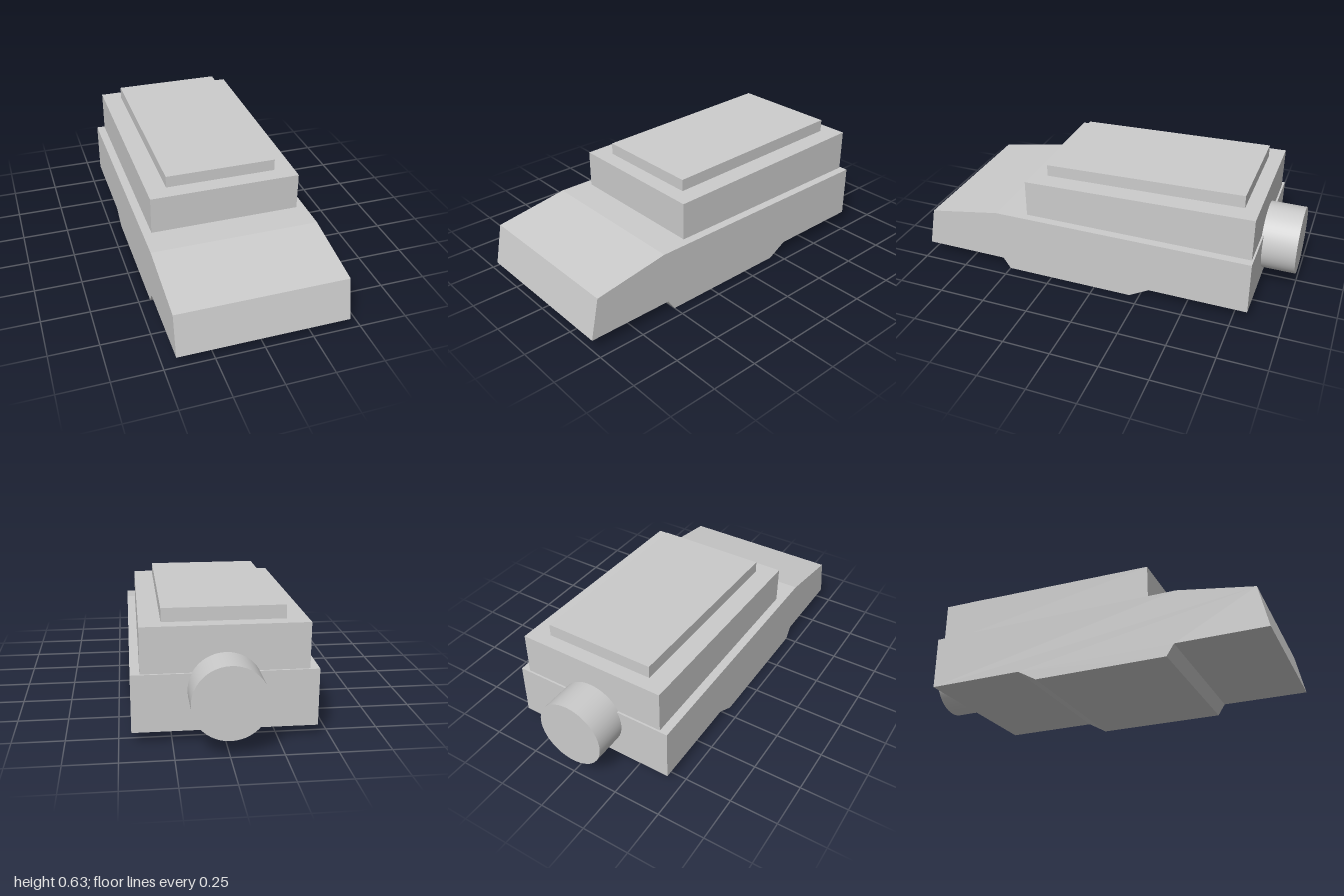
import * as THREE from 'three';

const material = new THREE.MeshStandardMaterial({ color: 0xcccccc });

// Extrudes a side profile of [z, y] points across the full width, centred on x = 0
function slab(name, width, profile) {
  const shape = new THREE.Shape(profile.map(([z, y]) => new THREE.Vector2(z, y)));
  const geometry = new THREE.ExtrudeGeometry(shape, { depth: width, bevelEnabled: false });
  geometry.translate(0, 0, -width / 2).rotateY(-Math.PI / 2);
  const mesh = new THREE.Mesh(geometry, material);
  mesh.name = name;
  return mesh;
}

export function createModel() {
  const model = new THREE.Group();
  model.name = 'model';

  // Main body: sloped nose, flat deck and a shallow keel underneath
  model.add(slab('body', 0.88, [
    [-0.825, 0.06], [-0.305, 0.06], [-0.2, 0], [0.5, 0], [0.54, 0.06],
    [1, 0.06], [0.955, 0.276], [0.56, 0.343], [-0.825, 0.343],
  ]));

  // Upper housing with a roof rising gently to the rear
  model.add(slab('upperHousing', 0.79, [
    [-0.815, 0.34], [0.398, 0.34], [0.398, 0.541], [-0.815, 0.567],
  ]));

  // Raised panel lying on the sloped roof
  model.add(slab('topPanel', 0.584, [
    [-0.74, 0.56], [0.315, 0.538], [0.315, 0.605], [-0.74, 0.632],
  ]));

  // Round stub at the back
  const stub = new THREE.Mesh(new THREE.CylinderGeometry(0.178, 0.178, 0.19, 48), material);
  stub.name = 'rearStub';
  stub.rotation.x = Math.PI / 2;
  stub.position.set(0, 0.259, -0.905);
  model.add(stub);

  return model;
}
